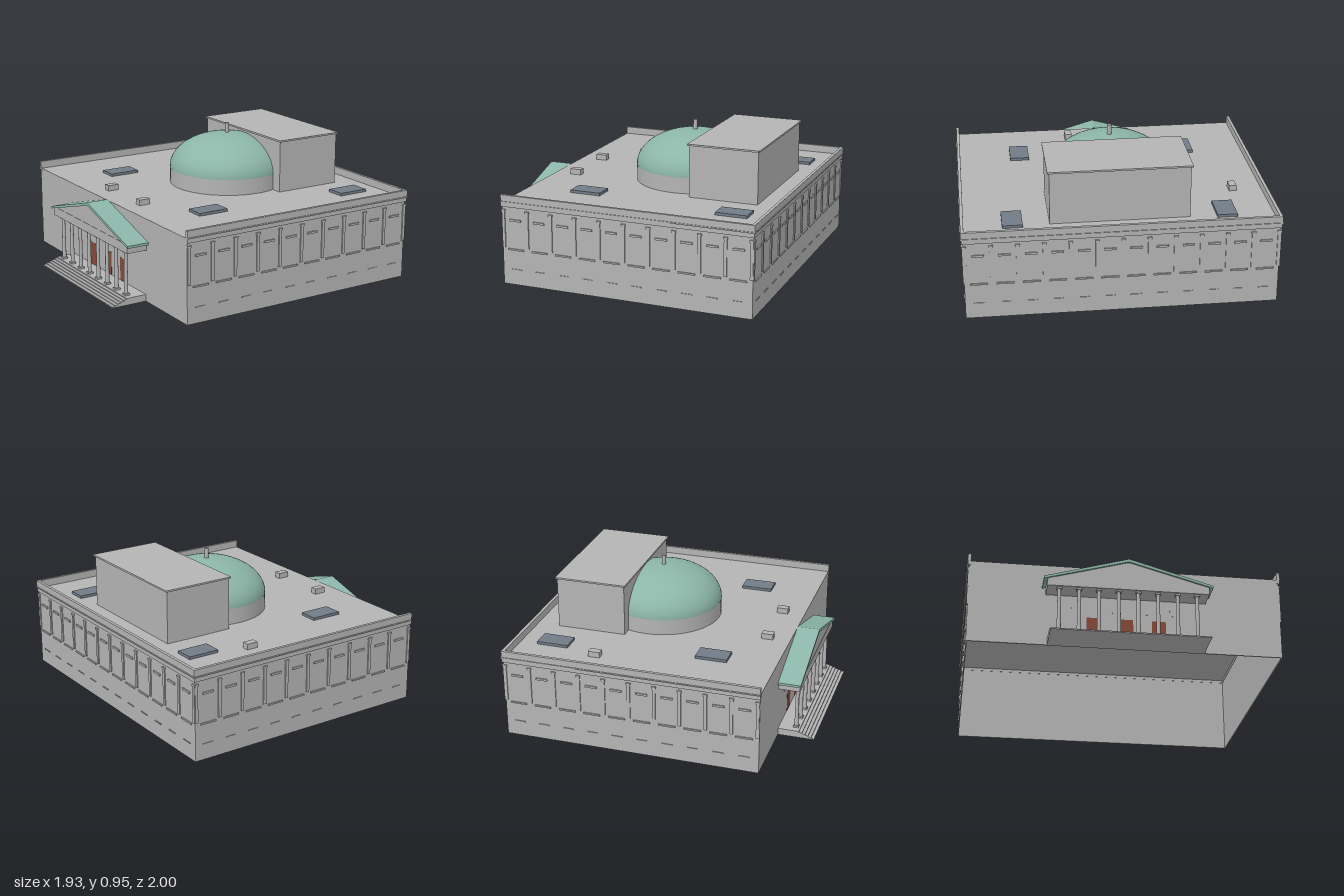
import * as THREE from 'three';

const mat = (name, color, side = THREE.FrontSide) => {
  const m = new THREE.MeshStandardMaterial({ color, side });
  m.name = name;
  return m;
};

export function createModel() {
  const stone = mat('stone grey', 0xb4b4b4);
  const copper = mat('copper green', 0x8cb5a8);
  const glass = mat('skylight slate', 0x707c87);
  const wood = mat('door brown', 0x86483a);
  const model = new THREE.Group();
  model.name = 'domedHall';

  const add = (parent, name, geometry, material) => {
    const mesh = new THREE.Mesh(geometry, material);
    mesh.name = name;
    parent.add(mesh);
    return mesh;
  };
  // Box given by its limits on each axis
  const box = (parent, name, x0, x1, y0, y1, z0, z1, material = stone) => {
    const mesh = add(parent, name, new THREE.BoxGeometry(x1 - x0, y1 - y0, z1 - z0), material);
    mesh.position.set((x0 + x1) / 2, (y0 + y1) / 2, (z0 + z1) / 2);
    return mesh;
  };

  // Main hall: thin walls and a flat roof, open underneath
  const X0 = -0.73, X1 = 0.948, Z = 0.985, ROOF = 0.545, T = 0.008;
  box(model, 'roof', X0, X1, ROOF - T, ROOF, -Z, Z);
  box(model, 'entranceWall', X0, X0 + T, 0, ROOF - T, -Z, Z);
  box(model, 'rearWall', X1 - T, X1, 0, ROOF - T, -Z, Z);
  for (const s of [-1, 1]) {
    const a = s * Z, b = s * (Z - T);
    box(model, 'sideWall', X0 + T, X1 - T, 0, ROOF - T, Math.min(a, b), Math.max(a, b));
  }

  // Frieze, cornice and parapet around three sides
  const bands = [
    ['frieze', 0.517, 0.545, 0.008],
    ['cornice', 0.545, 0.553, 0.015],
    ['parapet', 0.553, 0.595, 0.01],
  ];
  for (const [name, y0, y1, out] of bands) {
    box(model, name, X1 - 0.01, X1 + out, y0, y1, -Z, Z);
    box(model, name, X0 - 0.003, X1 + out, y0, y1, Z - 0.01, Z + out);
    box(model, name, X0 - 0.003, X1 + out, y0, y1, -Z - out, -Z + 0.01);
  }

  // Row of pilasters with a hood, sill and slit ledge in every bay
  const facade = (name, bays, span, x, z, angle) => {
    const g = new THREE.Group();
    g.name = name;
    g.position.set(x, 0, z);
    g.rotation.y = angle;
    model.add(g);
    const step = span / bays;
    for (let i = 0; i <= bays; i++) {
      const c = -span / 2 + i * step;
      box(g, 'pilaster', c - 0.01, c + 0.01, 0.25, 0.487, -0.002, 0.007);
      box(g, 'capital', c - 0.014, c + 0.014, 0.487, 0.5, -0.002, 0.01);
      if (i === bays) continue;
      const m = c + step / 2;
      box(g, 'windowHood', m - 0.038, m + 0.038, 0.425, 0.438, -0.002, 0.008);
      box(g, 'windowSill', m - 0.055, m + 0.055, 0.232, 0.242, -0.002, 0.008);
      box(g, 'lowerLedge', m - 0.035, m + 0.035, 0.1, 0.106, -0.002, 0.005);
    }
  };
  facade('leftFacade', 10, 1.658, 0.111, Z, 0);
  facade('backFacade', 10, 1.658, 0.111, -Z, Math.PI);
  facade('rearFacade', 12, 1.955, X1, 0, Math.PI / 2);

  // Dome on its drum, with a finial
  const dome = new THREE.Group();
  dome.name = 'dome';
  dome.position.set(0.2, 0, 0);
  model.add(dome);
  add(dome, 'drum', new THREE.CylinderGeometry(0.388, 0.388, 0.105, 48, 1, true), stone).position.y = 0.5975;
  const shell = add(dome, 'domeShell',
    new THREE.SphereGeometry(0.39, 48, 16, 0, Math.PI * 2, 0, Math.PI / 2), copper);
  shell.scale.y = 0.235 / 0.39;
  shell.position.y = 0.65;
  add(dome, 'finial', new THREE.CylinderGeometry(0.014, 0.014, 0.08, 12), stone).position.y = 0.91;

  // Tall block behind the dome
  box(model, 'towerBlock', 0.328, 0.79, ROOF, 0.886, -0.442, 0.442);
  box(model, 'towerCap', 0.318, 0.8, 0.886, 0.897, -0.453, 0.453);

  // Skylights and roof vents
  for (const s of [-1, 1]) {
    for (const [x, z] of [[-0.315, 0.57], [0.717, 0.674]]) {
      box(model, 'skylight', x - 0.104, x + 0.104, ROOF, 0.563, s * z - 0.064, s * z + 0.064, glass);
    }
  }
  for (const [x, z] of [[-0.58, -0.21], [-0.58, 0.205], [0.405, -0.783]]) {
    box(model, 'roofVent', x - 0.038, x + 0.038, ROOF, 0.582, z - 0.024, z + 0.024);
  }

  // Portico: platform, steps and columns
  const portico = new THREE.Group();
  portico.name = 'portico';
  model.add(portico);
  box(portico, 'platform', -0.868, X0, 0, 0.045, -0.49, 0.49);
  for (let i = 0; i < 5; i++) {
    const x = -0.868 - i * 0.0204;
    box(portico, 'step', x - 0.0204, x, 0, 0.0375 - i * 0.0075, -0.49, 0.49);
  }
  const columns = 8;
  for (let i = 0; i < columns; i++) {
    const z = -0.43 + (0.86 * i) / (columns - 1);
    const shaft = add(portico, 'column', new THREE.CylinderGeometry(0.011, 0.013, 0.28, 16), stone);
    shaft.position.set(-0.838, 0.195, z);
    box(portico, 'columnBase', -0.855, -0.821, 0.045, 0.057, z - 0.017, z + 0.017);
    box(portico, 'columnCapital', -0.855, -0.821, 0.33, 0.342, z - 0.017, z + 0.017);
  }
  box(portico, 'entablature', -0.868, X0, 0.341, 0.4, -0.505, 0.505);

  // Gable: outline in z and y, extruded towards the entrance
  const gable = (name, points, depth, material) => {
    const shape = new THREE.Shape(points.map(([z, y]) => new THREE.Vector2(z, y)));
    const geometry = new THREE.ExtrudeGeometry(shape, { depth, bevelEnabled: false });
    geometry.rotateY(-Math.PI / 2);
    add(portico, name, geometry, material).position.x = X0;
  };
  gable('pediment', [[-0.5, 0.4], [0.5, 0.4], [0, 0.535]], 0.136, stone);
  gable('porticoRoof',
    [[-0.528, 0.398], [-0.528, 0.382], [0, 0.53], [0.528, 0.382], [0.528, 0.398], [0, 0.55]], 0.148, copper);

  // Doors and upper windows, set through the entrance wall
  for (const z of [-0.205, 0, 0.205]) {
    box(model, 'door', X0 - 0.001, X0 + T + 0.001, 0.045, 0.2, z - 0.044, z + 0.044, wood);
  }
  for (const z of [-0.31, -0.103, 0.103, 0.31]) {
    box(model, 'upperWindow', X0 - 0.001, X0 + T + 0.001, 0.24, 0.355, z - 0.034, z + 0.034);
  }
  return model;
}
